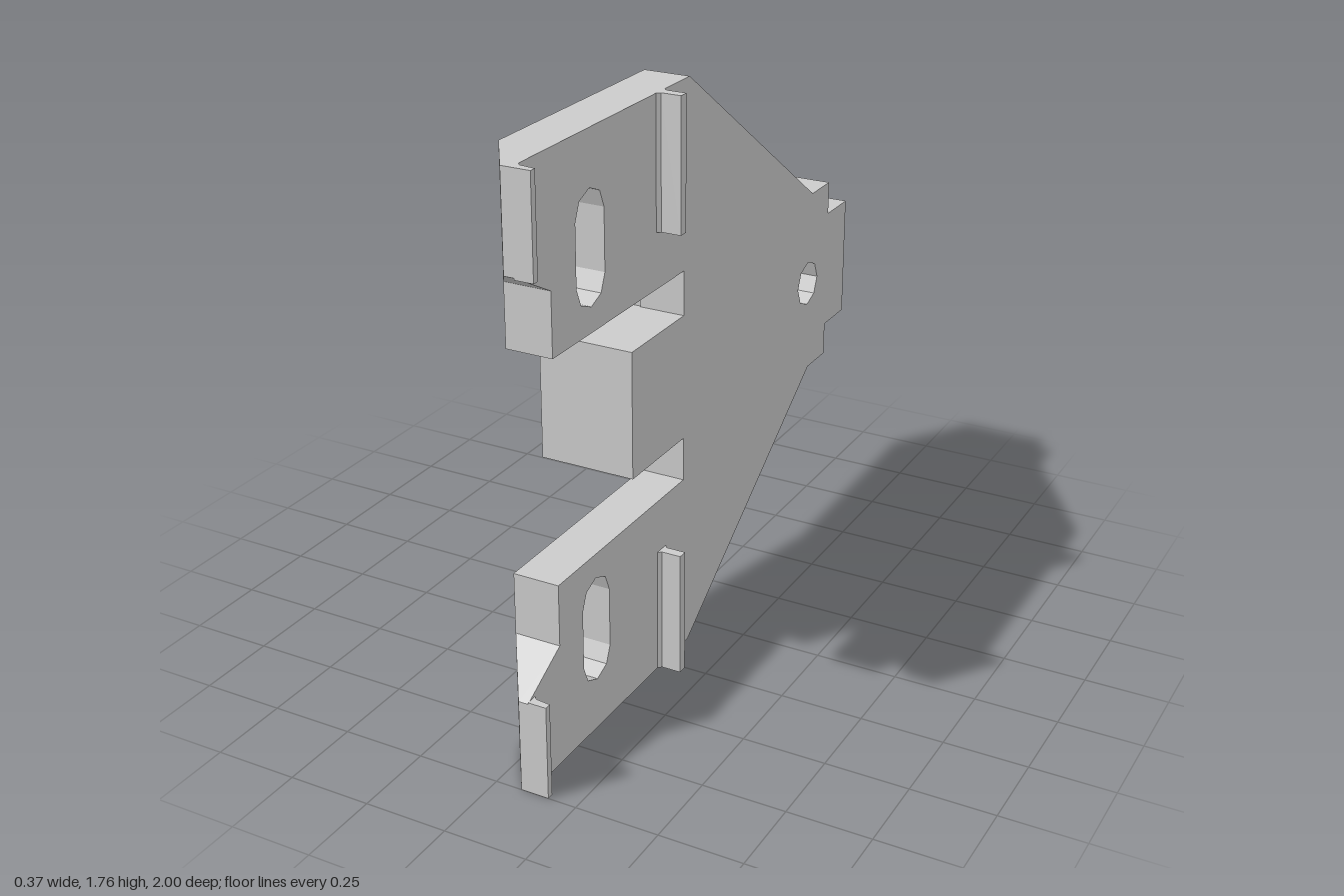
import * as THREE from 'three';
import { ConvexGeometry } from 'three/addons/geometries/ConvexGeometry.js';

const H = 1.765; // overall height; everything mirrors about H / 2

export function createModel() {
  const group = new THREE.Group();
  const material = new THREE.MeshStandardMaterial({ color: 0xcccccc });
  const add = (name, geometry) => {
    const mesh = new THREE.Mesh(geometry, material);
    mesh.name = name;
    group.add(mesh);
  };

  // Faceted slot (or round hole when yLow = yHigh), in side-view coordinates (-z, y)
  const slot = (z, yLow, yHigh, r) => {
    const points = [];
    for (let i = 0; i <= 4; i++) {
      const a = (i * Math.PI) / 4;
      points.push(new THREE.Vector2(-z + r * Math.cos(a), yHigh + r * Math.sin(a)));
    }
    for (let i = yLow === yHigh ? 5 : 4; i <= (yLow === yHigh ? 7 : 8); i++) {
      const a = (i * Math.PI) / 4;
      points.push(new THREE.Vector2(-z + r * Math.cos(a), yLow + r * Math.sin(a)));
    }
    return new THREE.Path(points);
  };

  // Layer across x: the lower half outline [z, y] is mirrored to close the shape
  const layer = (name, x0, x1, half, holes) => {
    const upper = half.map(([z, y]) => [z, H - y]).reverse();
    const shape = new THREE.Shape([...half, ...upper].map(([z, y]) => new THREE.Vector2(-z, y)));
    shape.holes.push(...holes);
    const geometry = new THREE.ExtrudeGeometry(shape, { depth: x1 - x0, bevelEnabled: false });
    add(name, geometry.rotateY(Math.PI / 2).translate(x0, 0, 0));
  };

  const pin = () => slot(-0.715, H / 2, H / 2, 0.072);

  // Forked plate, stepped spine and thick central block, stacked side by side
  layer('forkedPlate', -0.03, 0.11, [
    [0.43, 0.69], [0.13, 0.69], [0.13, 0.555], [0.835, 0.555], [0.835, 0],
    [0.1, 0], [-0.735, 0.585], [-0.86, 0.585], [-0.86, 0.69], [-1, 0.69],
  ], [pin(), slot(0.64, 0.23, 0.41, 0.072), slot(0.64, H - 0.41, H - 0.23, 0.072)]);
  layer('spineStep', -0.08, -0.03, [
    [0.43, 0.69], [0.125, 0.69], [0.125, 0.585], [-0.86, 0.585], [-0.86, 0.69], [-1, 0.69],
  ], [pin()]);
  layer('centralBlock', -0.185, -0.08, [[0.43, 0.69], [-1, 0.69]], [pin()]);

  // Vertical strip with an [x, z] cross-section
  const strip = (name, section, y, height) => {
    const shape = new THREE.Shape(section.map(([x, z]) => new THREE.Vector2(x, -z)));
    const geometry = new THREE.ExtrudeGeometry(shape, { depth: height, bevelEnabled: false });
    add(name, geometry.rotateX(-Math.PI / 2).translate(0, y, 0));
  };
  const ribSection = [[0.11, 0.24], [0.12, 0.25], [0.18, 0.25], [0.18, 0.28], [0.12, 0.28], [0.11, 0.29]];
  const lipSection = [[0.11, 0.965], [0.12, 0.975], [0.165, 0.98], [0.165, 1], [0.11, 1]];

  for (const top of [false, true]) {
    const prefix = top ? 'upper' : 'lower';
    const flip = (y) => (top ? H - y : y);

    // Wedge-shaped tip of each fork arm
    const corners = [];
    for (const [x, z, y] of [[-0.03, 0.835, 0.37], [0.11, 0.835, 0.37], [0.08, 1, 0.28], [0.11, 1, 0.28]]) {
      corners.push(new THREE.Vector3(x, flip(0), z), new THREE.Vector3(x, flip(y), z));
    }
    add(prefix + 'ArmTip', new ConvexGeometry(corners));

    // Raised rib and hooked lip on the outer face
    strip(prefix + 'Rib', ribSection, top ? H - 0.39 : 0, 0.39);
    strip(prefix + 'Lip', lipSection, top ? H - 0.285 : 0, 0.285);
  }
  return group;
}
